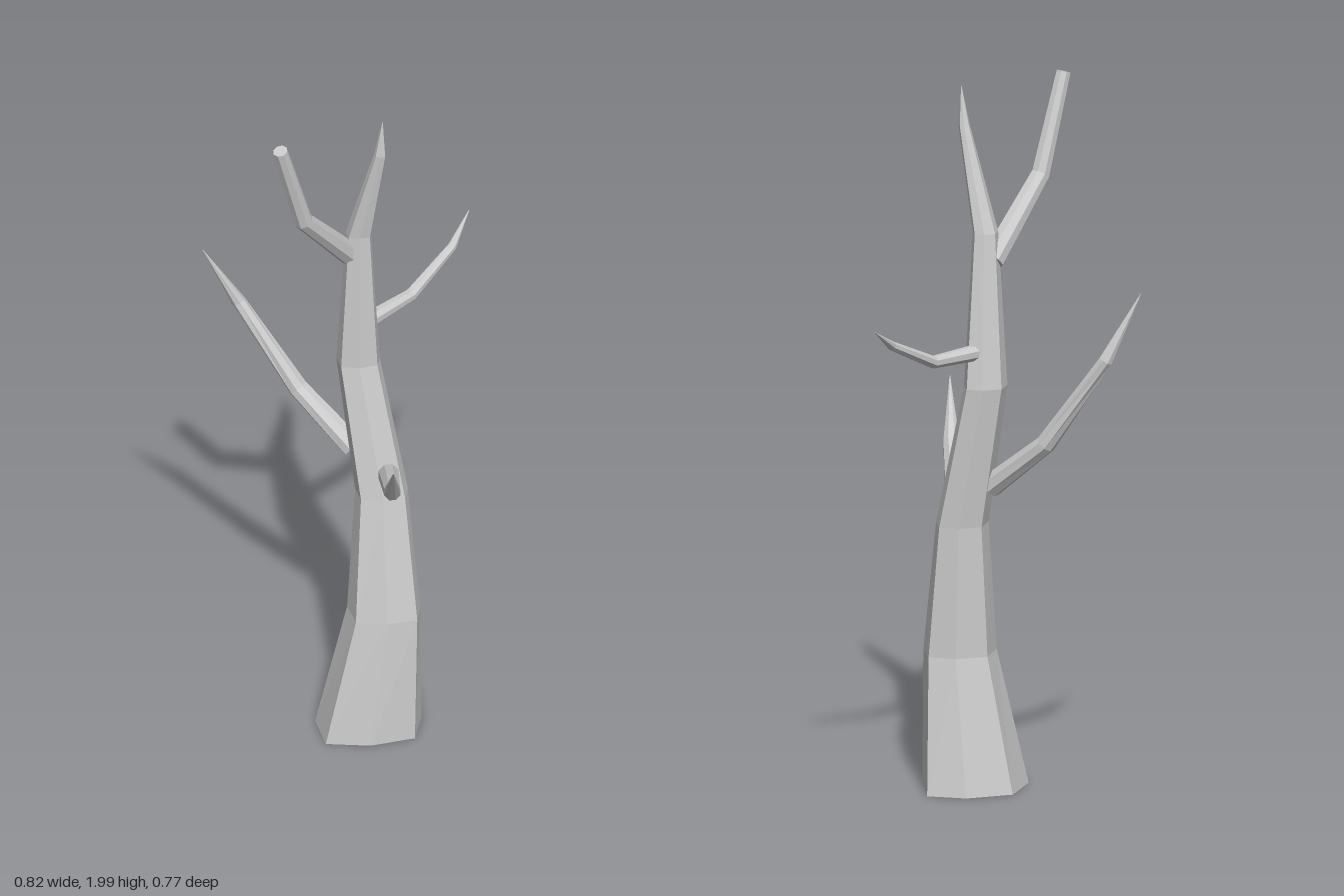
import * as THREE from 'three';

const SIDES = 8;
const material = new THREE.MeshStandardMaterial({ color: 0xcccccc, flatShading: true });

// Skin a list of equal-sized rings and close both ends with a fan.
function loft(rings, name) {
  const pos = [];
  const tri = (a, b, c) => pos.push(...a.toArray(), ...b.toArray(), ...c.toArray());
  const n = rings[0].length;
  const middle = (r) => r.reduce((s, p) => s.add(p), new THREE.Vector3()).divideScalar(n);
  const first = rings[0], last = rings[rings.length - 1];
  const c0 = middle(first), c1 = middle(last);
  for (let i = 0; i < n; i++) {
    const j = (i + 1) % n;
    for (let k = 0; k < rings.length - 1; k++) {
      const lo = rings[k], hi = rings[k + 1];
      tri(lo[i], lo[j], hi[j]);
      tri(lo[i], hi[j], hi[i]);
    }
    tri(c0, first[j], first[i]);
    tri(c1, last[i], last[j]);
  }
  const geometry = new THREE.BufferGeometry();
  geometry.setAttribute('position', new THREE.Float32BufferAttribute(pos, 3));
  geometry.computeVertexNormals();
  const mesh = new THREE.Mesh(geometry, material);
  mesh.name = name;
  return mesh;
}

// Trunk: horizontal, slightly irregular octagons [y, x, z, half width, half depth].
function makeTrunk() {
  const outline = [[1, 0], [0.48, 0.65], [0, 1], [-0.59, 0.6], [-1, 0], [-0.64, -0.62], [0.08, -1], [0.72, -0.6]];
  const sections = [
    [0, -0.092, 0.068, 0.187, 0.163],
    [0.38, -0.077, 0.108, 0.122, 0.118],
    [0.75, -0.06, 0.082, 0.09, 0.083],
    [1.15, -0.07, 0.003, 0.074, 0.068],
    [1.58, -0.092, 0.022, 0.042, 0.041],
    [1.87, -0.092, 0.1, 0.017, 0.02],
    [1.98, -0.092, 0.11, 0.001, 0.001],
  ];
  const rings = sections.map(([y, x, z, w, d]) =>
    // reversed so the ring runs counter-clockwise seen from above
    outline.map(([u, v]) => new THREE.Vector3(x + u * w, y, z + v * d)).reverse());
  return loft(rings, 'trunk');
}

// Branch: rings set square to a bent path of [x, y, z, radius].
function makeBranch(path, name) {
  const pts = path.map(([x, y, z]) => new THREE.Vector3(x, y, z));
  const rings = pts.map((p, k) => {
    const dir = new THREE.Vector3();
    if (k > 0) dir.add(p.clone().sub(pts[k - 1]).normalize());
    if (k < pts.length - 1) dir.add(pts[k + 1].clone().sub(p).normalize());
    dir.normalize();
    const side = new THREE.Vector3(0, 1, 0).cross(dir).normalize();
    const up = dir.clone().cross(side);
    return Array.from({ length: SIDES }, (_, i) => {
      const a = ((i + 0.5) / SIDES) * Math.PI * 2;
      return p.clone()
        .addScaledVector(side, Math.cos(a) * path[k][3])
        .addScaledVector(up, Math.sin(a) * path[k][3]);
    });
  });
  return loft(rings, name);
}

export function createModel() {
  const tree = new THREE.Group();
  tree.name = 'bareTree';
  tree.add(
    makeTrunk(),
    // blunt, sawn-off branch
    makeBranch([[-0.1, 1.5, 0.002, 0.034], [-0.3, 1.71, 0.003, 0.027], [-0.395, 1.985, 0.003, 0.021]], 'upperRightBranch'),
    // pointed branches
    makeBranch([[-0.025, 1.25, 0.001, 0.023], [0.14, 1.253, 0.005, 0.018], [0.31, 1.33, 0.005, 0.013], [0.41, 1.39, -0.022, 0.001]], 'leftBranch'),
    makeBranch([[-0.09, 0.86, 0, 0.034], [-0.13, 1.0, -0.17, 0.028], [-0.2, 1.25, -0.33, 0.02], [-0.285, 1.435, -0.385, 0.001]], 'backBranch'),
    makeBranch([[-0.085, 0.825, 0.125, 0.03], [-0.245, 0.91, 0.285, 0.024], [-0.35, 1.065, 0.385, 0.001]], 'frontBranch'),
  );
  return tree;
}
